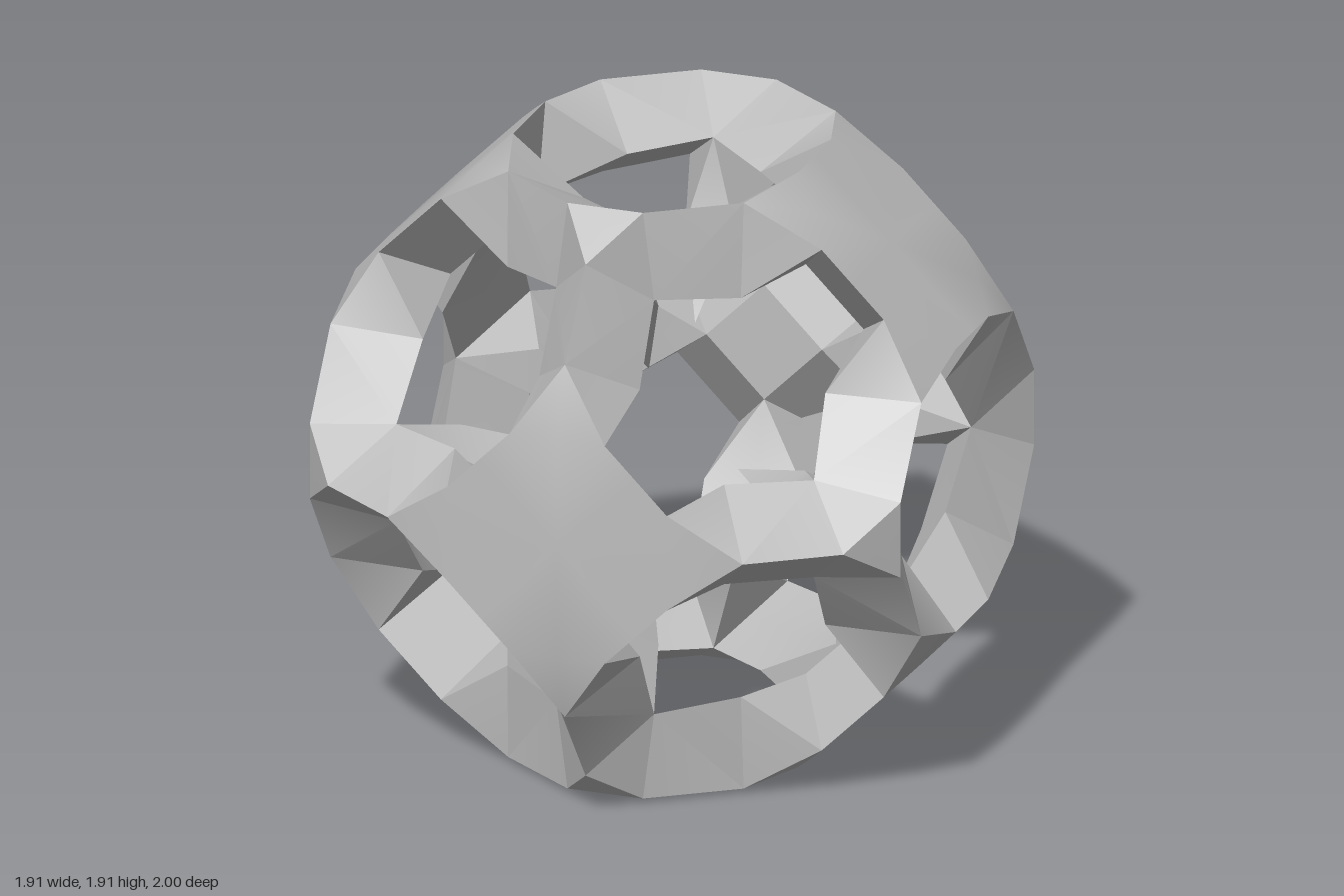
import * as THREE from 'three';
import { toCreasedNormals } from 'three/addons/utils/BufferGeometryUtils.js';

// Key points in one 48th of the frame (u >= v >= w), in cube axes
const centre = [1, 0, 0];               // middle of a plate
const corner = [0.998, 0.25, 0.25];     // where a plate bends down to its tip
const tip = [0.93, 0.4, 0.4];           // pointed corner of a plate
const rim = [0.997, 0.354, 0.14];       // plate edge beside an opening
const rimMid = [0.997, 0.354, 0];
const waist = [0.716, 0.416, 0.19];     // halfway along a strut's inner edge
const waistMid = [0.716, 0.303, 0.303];
const notch = [0.58, 0.58, 0.36];       // opening corner at a three-way joint
const notchMid = [0.58, 0.47, 0.47];
const joint = [0.75, 0.58, 0.58];       // corner of the joint's outer triangle
const jointMid = [0.665, 0.665, 0.58];
const jointCentre = [0.637, 0.637, 0.637];
const back = [0.8, 0.13, 0.13];         // inner corner of a plate
const backMid = [0.8, 0.13, 0];
const spikeTip = [0.2, 0.2, 0.2];
const spikeBase = [0.44, 0.33, 0.33];
const spikeMid = [0.385, 0.385, 0.33];

// Points inside the solid, used to turn each face outward
const inPlate = [0.9, 0.1, 0.05];
const inStrut = [0.76, 0.38, 0.38];
const inJoint = [0.5, 0.5, 0.5];
const inSpike = [0.4, 0.4, 0.4];

const parts = {
  facePlates: [
    [inPlate, centre, rimMid, rim, corner],
    [inPlate, rim, tip, corner],
    [inPlate, rimMid, rim, back, backMid],
    [inPlate, [0.8, 0, 0], backMid, back],
  ],
  struts: [
    [inStrut, tip, rim, waist, notch, joint],
    [inStrut, rim, waist, back],
    [inStrut, waist, waistMid, back],
    [inStrut, waist, notch, notchMid, waistMid],
  ],
  cornerJoints: [
    [inJoint, jointCentre, joint, jointMid],
    [inJoint, joint, jointMid, notch],
  ],
  innerSpikes: [
    [inSpike, spikeTip, spikeBase, spikeMid],
    [inSpike, spikeBase, spikeMid, notch],
    [inSpike, spikeBase, notch, notchMid],
  ],
};

// The 48 rotations and mirrorings of a cube
const symmetries = [];
for (const order of [[0, 1, 2], [1, 2, 0], [2, 0, 1], [0, 2, 1], [2, 1, 0], [1, 0, 2]])
  for (const a of [1, -1]) for (const b of [1, -1]) for (const c of [1, -1])
    symmetries.push(p => new THREE.Vector3(a * p[order[0]], b * p[order[1]], c * p[order[2]]));

function buildPart(faces) {
  const positions = [];
  for (const move of symmetries) {
    for (const [inside, ...corners] of faces) {
      const core = move(inside);
      const pts = corners.map(move);
      for (let i = 1; i < pts.length - 1; i++) {
        const [p, q, r] = [pts[0], pts[i], pts[i + 1]];
        const normal = q.clone().sub(p).cross(r.clone().sub(p));
        const outward = normal.dot(p.clone().sub(core)) > 0;
        for (const s of outward ? [p, q, r] : [p, r, q]) positions.push(s.x, s.y, s.z);
      }
    }
  }
  const geometry = new THREE.BufferGeometry();
  geometry.setAttribute('position', new THREE.Float32BufferAttribute(positions, 3));
  // Stand the cube frame on one of its edges
  geometry.rotateZ(Math.PI / 4).translate(0, 0.9553, 0);
  return toCreasedNormals(geometry, 0.4);
}

export function createModel() {
  const model = new THREE.Group();
  model.name = 'openCubeFrame';
  const grey = new THREE.MeshStandardMaterial({ color: 0xbebebe });
  grey.name = 'grey';
  for (const [name, faces] of Object.entries(parts)) {
    const mesh = new THREE.Mesh(buildPart(faces), grey);
    mesh.name = name;
    model.add(mesh);
  }
  return model;
}
